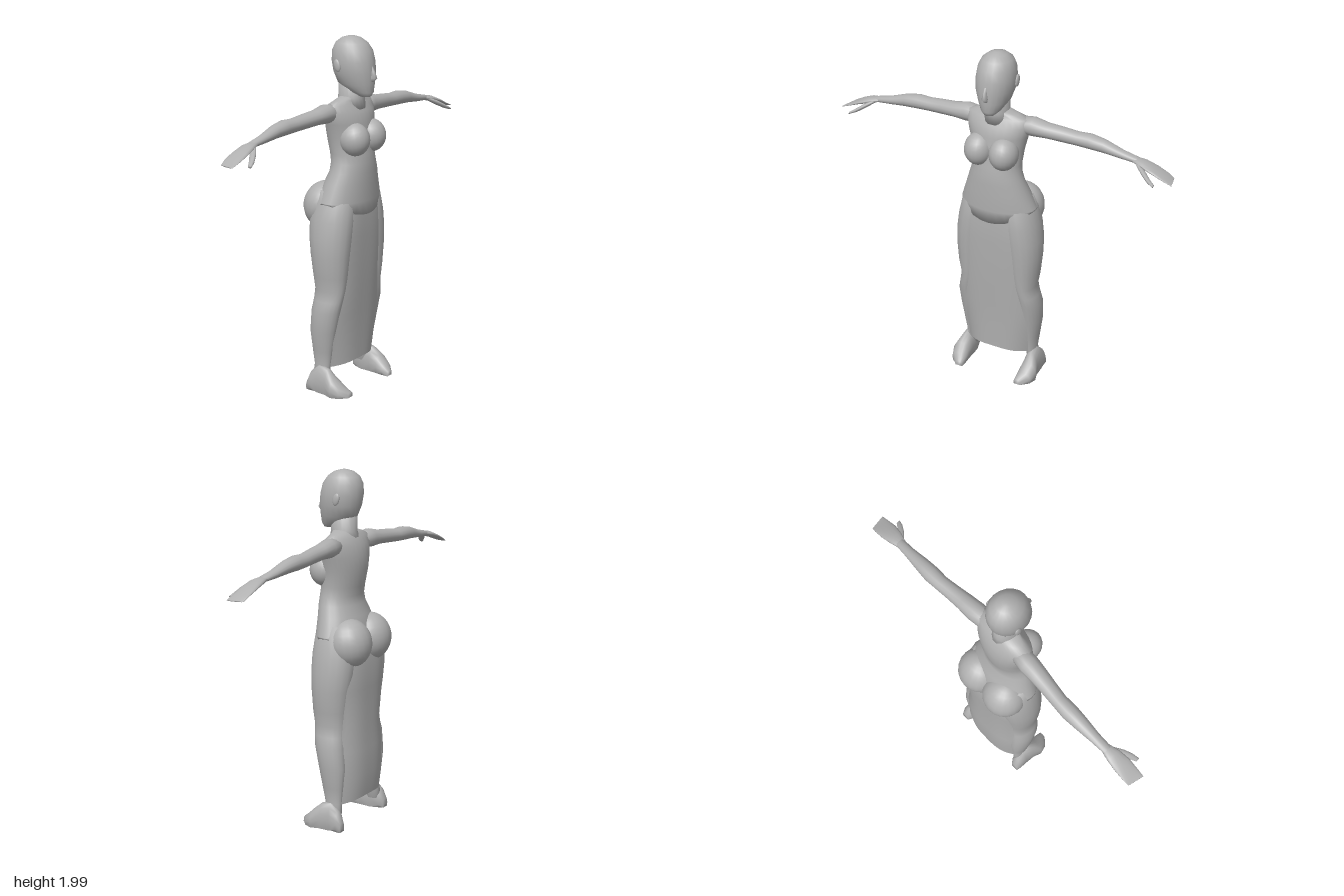
import * as THREE from 'three';

const grey = new THREE.MeshStandardMaterial({ color: 0xb0b0b0, side: THREE.DoubleSide });
grey.name = 'plain grey';

// Closed tube through elliptical rings [t, c1, c2, r1, r2] stacked along an axis, t increasing.
// Optional adjust(point, ringIndex) moves each point.
function loft(axis, rings, sides = 18, adjust) {
  const pos = [], index = [], n = rings.length;
  const put = ([t, c1, c2, r1, r2], i, co, si) => {
    const a = c1 + r1 * co, b = c2 + r2 * (axis === 'y' ? -si : si);
    const p = axis === 'y' ? new THREE.Vector3(a, t, b)
      : axis === 'x' ? new THREE.Vector3(t, a, b) : new THREE.Vector3(a, b, t);
    if (adjust) adjust(p, i);
    pos.push(p.x, p.y, p.z);
  };
  rings.forEach((r, i) => {
    for (let j = 0; j < sides; j++) {
      const a = (j / sides) * Math.PI * 2;
      put(r, i, Math.cos(a), Math.sin(a));
    }
  });
  put(rings[0], 0, 0, 0);
  put(rings[n - 1], n - 1, 0, 0);
  for (let j = 0; j < sides; j++) {
    const k = (j + 1) % sides;
    for (let i = 0; i < n - 1; i++) {
      const a = i * sides + j, b = i * sides + k;
      index.push(a, b, a + sides, b, b + sides, a + sides);
    }
    const top = (n - 1) * sides;
    index.push(n * sides, k, j, n * sides + 1, top + j, top + k);
  }
  const g = new THREE.BufferGeometry();
  g.setAttribute('position', new THREE.Float32BufferAttribute(pos, 3));
  g.setIndex(index);
  g.computeVertexNormals();
  return g;
}

function ellipsoid(x, y, z, rx, ry, rz, tilt = 0) {
  return new THREE.SphereGeometry(1, 20, 14).scale(rx, ry, rz).rotateX(tilt).translate(x, y, z);
}

// Mirror across x = 0, keeping faces outward
function mirrored(geometry) {
  const g = geometry.clone().scale(-1, 1, 1), ix = g.index;
  for (let i = 0; i < ix.count; i += 3) {
    const a = ix.getX(i);
    ix.setX(i, ix.getX(i + 2));
    ix.setX(i + 2, a);
  }
  g.computeVertexNormals();
  return g;
}

// Curved cloth sheet through rows [y, half width, middle z, edge z], top to bottom
function panel(rows, facing) {
  const cols = 16, g = new THREE.PlaneGeometry(2, 1, cols, rows.length - 1), p = g.attributes.position;
  for (let i = 0; i < p.count; i++) {
    const row = Math.floor(i / (cols + 1)), u = p.getX(i);
    const [y, w, zMid, zEdge] = rows[row];
    const hem = row === rows.length - 1 ? -0.02 * u * u : 0;
    p.setXYZ(i, u * w * facing, y + hem, zMid + (zEdge - zMid) * Math.abs(u) ** 3);
  }
  g.computeVertexNormals();
  return g;
}

export function createModel() {
  const model = new THREE.Group();
  model.name = 'figure';
  const add = (name, geometry) => {
    const m = new THREE.Mesh(geometry, grey);
    m.name = name;
    model.add(m);
  };
  const pair = (name, geometry) => {
    add('left' + name, geometry);
    add('right' + name, mirrored(geometry));
  };

  // Head, nose, ears and neck
  add('head', loft('y', [
    [1.672, 0, 0.125, 0.03, 0.03], [1.695, 0, 0.1, 0.055, 0.068], [1.74, 0, 0.063, 0.083, 0.108],
    [1.8, 0, 0.052, 0.102, 0.122], [1.86, 0, 0.043, 0.107, 0.123], [1.915, 0, 0.037, 0.1, 0.115],
    [1.955, 0, 0.032, 0.082, 0.09], [1.98, 0, 0.03, 0.05, 0.055], [1.99, 0, 0.03, 0.02, 0.02]], 20));
  add('nose', loft('y', [
    [1.755, 0, 0.165, 0.012, 0.01], [1.775, 0, 0.172, 0.016, 0.028],
    [1.81, 0, 0.168, 0.011, 0.017], [1.84, 0, 0.16, 0.008, 0.008]], 8));
  pair('Ear', ellipsoid(0.105, 1.84, 0.012, 0.01, 0.034, 0.02, -0.25));
  add('neck', loft('y', [
    [1.6, 0, 0.022, 0.085, 0.085], [1.66, 0, 0.03, 0.064, 0.076], [1.75, 0, 0.03, 0.06, 0.075]]));

  // Torso, with a belly edge that rises toward the hips
  add('torso', loft('y', [
    [1.02, 0, 0.012, 0.225, 0.133], [1.1, 0, 0.015, 0.222, 0.139], [1.2, 0, 0.03, 0.186, 0.123],
    [1.26, 0, 0.044, 0.163, 0.111], [1.31, 0, 0.044, 0.147, 0.108], [1.36, 0, 0.036, 0.14, 0.111],
    [1.45, 0, 0.021, 0.15, 0.111], [1.53, 0, 0.02, 0.172, 0.11], [1.59, 0, 0.018, 0.188, 0.092],
    [1.63, 0, 0.015, 0.178, 0.068], [1.65, 0, 0.02, 0.12, 0.055], [1.67, 0, 0.03, 0.06, 0.05]], 28,
  (p, i) => { if (i === 0) p.y += 1.5 * p.x * p.x; }));
  pair('Breast', ellipsoid(0.075, 1.445, 0.105, 0.08, 0.092, 0.088, -0.2));
  pair('Buttock', ellipsoid(0.098, 1.06, -0.075, 0.125, 0.135, 0.12, 0.15));

  // Arms with a shoulder, elbow and wrist
  pair('Arm', loft('x', [
    [0.12, 1.59, 0.005, 0.045, 0.05], [0.2, 1.591, 0, 0.052, 0.056], [0.28, 1.584, -0.003, 0.041, 0.05],
    [0.36, 1.578, -0.01, 0.04, 0.045], [0.45, 1.57, -0.018, 0.037, 0.042], [0.52, 1.57, -0.02, 0.04, 0.046],
    [0.6, 1.562, -0.018, 0.035, 0.04], [0.7, 1.542, -0.014, 0.023, 0.03], [0.79, 1.53, -0.01, 0.015, 0.026]], 14));
  pair('Hand', loft('x', [
    [0.77, 1.532, -0.01, 0.014, 0.026], [0.83, 1.52, -0.006, 0.018, 0.042],
    [0.89, 1.501, -0.003, 0.013, 0.05], [0.95, 1.476, -0.002, 0.007, 0.049],
    [0.99, 1.458, 0, 0.003, 0.046]], 14, (p) => { if (p.x > 0.98) p.x = 0.99 + p.z * 0.2; }));
  pair('Thumb', loft('x', [
    [0.79, 1.525, 0.005, 0.01, 0.016], [0.84, 1.497, 0.04, 0.014, 0.022],
    [0.88, 1.473, 0.067, 0.012, 0.018], [0.917, 1.455, 0.085, 0.006, 0.012]], 10));

  // Legs from ankle to hip
  pair('Leg', loft('y', [
    [0.06, 0.205, -0.035, 0.035, 0.05], [0.15, 0.192, -0.028, 0.03, 0.052], [0.24, 0.193, -0.025, 0.043, 0.065],
    [0.36, 0.192, -0.02, 0.062, 0.082], [0.48, 0.19, -0.003, 0.068, 0.09], [0.54, 0.182, 0.006, 0.06, 0.091],
    [0.6, 0.168, 0.01, 0.063, 0.095], [0.68, 0.165, 0.01, 0.081, 0.104], [0.8, 0.16, 0.006, 0.097, 0.117],
    [0.9, 0.15, 0.002, 0.106, 0.128], [1.0, 0.135, 0, 0.107, 0.132], [1.1, 0.117, 0, 0.102, 0.125],
    [1.16, 0.1, 0, 0.09, 0.1]], 20));

  // Feet, flat underneath and angled at the toes
  pair('Foot', loft('z', [
    [-0.105, 0.225, 0.02, 0.024, 0.035], [-0.08, 0.22, 0.045, 0.038, 0.07], [-0.03, 0.213, 0.055, 0.042, 0.105],
    [0.03, 0.215, 0.05, 0.043, 0.095], [0.08, 0.222, 0.035, 0.053, 0.068],
    [0.125, 0.213, 0.02, 0.046, 0.04], [0.165, 0.193, 0.01, 0.022, 0.02]], 16,
  (p) => { p.y = p.y < 0.015 ? 0 : p.y; }));

  // Skirt panels between the legs
  add('frontSkirt', panel([
    [1.1, 0.19, 0.13, 0.08], [1.02, 0.19, 0.137, 0.1], [0.9, 0.2, 0.135, 0.1], [0.75, 0.2, 0.128, 0.09],
    [0.6, 0.19, 0.12, 0.085], [0.45, 0.205, 0.108, 0.07], [0.3, 0.205, 0.1, 0.045], [0.165, 0.2, 0.096, 0.015]], 1));
  add('backSkirt', panel([
    [1.05, 0.19, -0.12, -0.08], [0.95, 0.2, -0.145, -0.1], [0.8, 0.2, -0.143, -0.095], [0.6, 0.19, -0.14, -0.075],
    [0.45, 0.205, -0.147, -0.085], [0.3, 0.205, -0.15, -0.08], [0.165, 0.2, -0.135, -0.07]], -1));

  return model;
}
